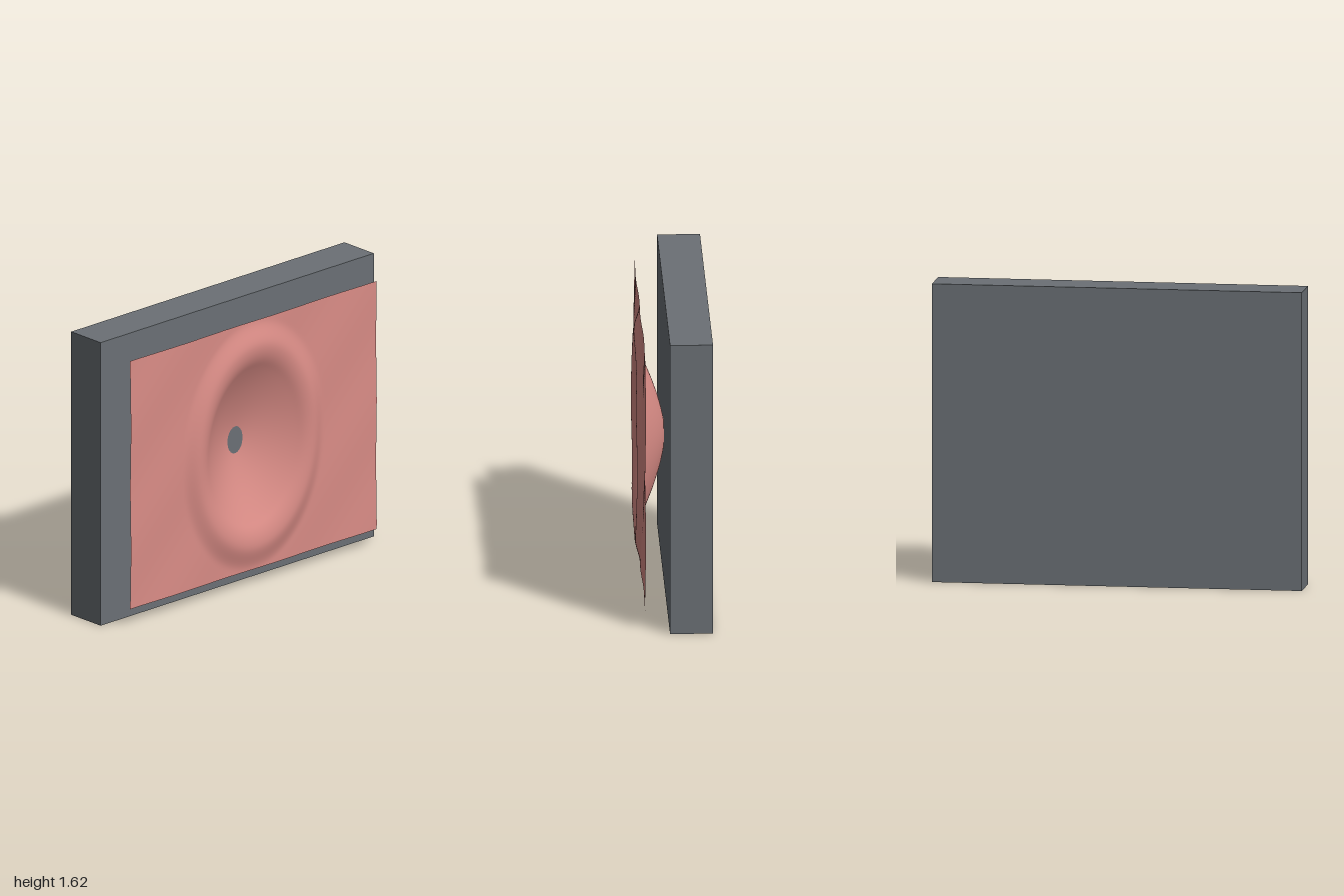
import * as THREE from 'three';

const smooth = (a, b, t) => {
  const s = Math.min(1, Math.max(0, (t - a) / (b - a)));
  return s * s * (3 - 2 * s);
};

const FLAT = 0.162, CREST = 0.193, BOTTOM = 0.027;

// Depth of the sheet at elliptical radius r: bowl, raised lip, then flat
function profile(r) {
  if (r < 1) return BOTTOM + (FLAT - BOTTOM) * Math.pow(r, 1.6);
  if (r < 1.26) {
    const s = (r - 1) / 0.26;
    return FLAT + (CREST - FLAT) * s * (2 - s);
  }
  return CREST + (FLAT - CREST) * smooth(1.26, 1.58, r);
}

function sheetDepth(x, y) {
  // The bowl leans slightly to one side towards its bottom
  const r0 = Math.hypot(x / 0.33, y / 0.45);
  const shift = -0.02 * Math.max(0, 1 - r0);
  const r = Math.hypot((x - shift) / 0.33, y / 0.45);
  // Faint diagonal ripples, fading out inside the bowl
  const ripple = 0.0025 * Math.sin(9 * (x - y)) * smooth(0.5, 1.4, r);
  return profile(r) + ripple;
}

export function createModel() {
  const model = new THREE.Group();

  // Backing slab
  const slab = new THREE.Mesh(
    new THREE.BoxGeometry(2, 1.615, 0.23),
    new THREE.MeshStandardMaterial({ color: 0x6b7075 })
  );
  slab.name = 'backingSlab';
  slab.position.set(0, 0.8075, -0.08);
  model.add(slab);

  // Thin sheet with an oval crater whose bottom sinks into the slab
  const geometry = new THREE.PlaneGeometry(1.8, 1.416, 120, 96);
  const p = geometry.attributes.position;
  for (let i = 0; i < p.count; i++) p.setZ(i, sheetDepth(p.getX(i), p.getY(i)));
  geometry.computeVertexNormals();
  const sheet = new THREE.Mesh(
    geometry,
    new THREE.MeshStandardMaterial({ color: 0xd98c86, side: THREE.DoubleSide })
  );
  sheet.name = 'crateredSheet';
  sheet.position.y = 0.81;
  model.add(sheet);

  return model;
}
